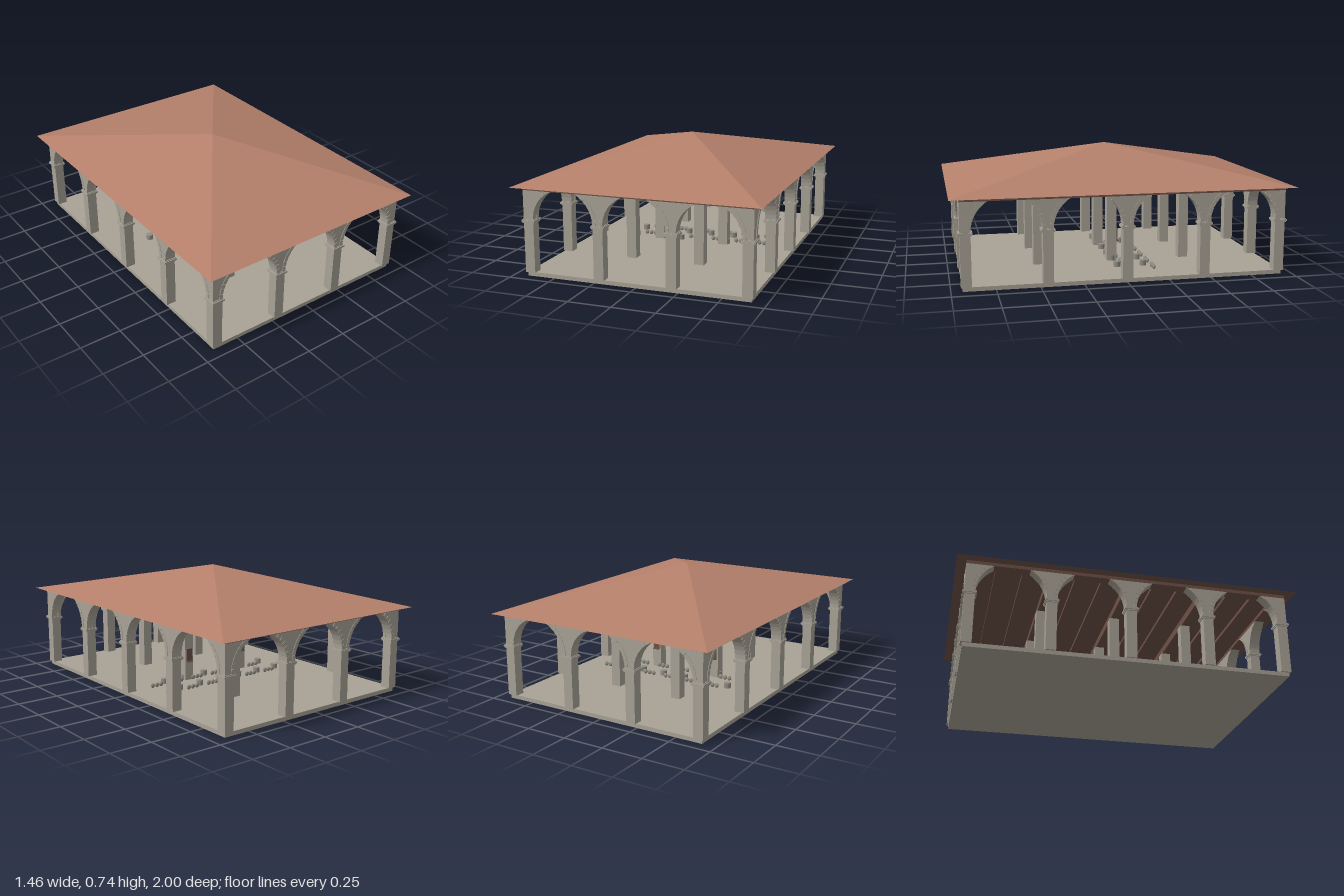
import * as THREE from 'three';

export function createModel() {
  const model = new THREE.Group();
  const mat = (name, color, extra = {}) => {
    const m = new THREE.MeshStandardMaterial({ color, ...extra });
    m.name = name;
    return m;
  };
  const stone = mat('stone', 0xa8a296);
  const tile = mat('roof tile', 0xb5806b, { flatShading: true });
  const wood = mat('dark wood', 0x6e5145);
  const prop = mat('grey stool', 0x8f8c83);

  const add = (name, geo, material, x = 0, y = 0, z = 0, parent = model) => {
    const m = new THREE.Mesh(geo, material);
    m.name = name;
    m.position.set(x, y, z);
    parent.add(m);
    return m;
  };
  // box given by its bottom height
  const box = (name, material, w, h, d, x, y, z, parent) =>
    add(name, new THREE.BoxGeometry(w, h, d), material, x, y + h / 2, z, parent);

  const FLOOR = 0.024, SPRING = 0.335, TOP = 0.505, EAVE = 0.525, HALF = 0.03;
  const xs = [-0.645, -0.215, 0.215, 0.645];
  const zs = [-0.915, -0.4575, 0, 0.4575, 0.915];

  // floor slab
  box('floor', stone, 1.33, FLOOR, 1.87, 0, 0, 0);

  // pillars: a full grid, the outer ones with capitals
  xs.forEach((x, i) => zs.forEach((z, j) => {
    const outer = i === 0 || i === 3 || j === 0 || j === 4;
    const g = new THREE.Group();
    g.name = outer ? 'outerPillar' : 'innerPillar';
    g.position.set(x, 0, z);
    model.add(g);
    box('shaft', stone, 0.06, (outer ? SPRING : 0.48) - FLOOR, 0.06, 0, FLOOR, 0, g);
    if (outer) {
      box('capital', stone, 0.08, 0.011, 0.08, 0, 0.322, 0, g);
      box('capitalNeck', stone, 0.07, 0.007, 0.07, 0, 0.315, 0, g);
      box('capitalTop', stone, 0.07, 0.005, 0.07, 0, 0.333, 0, g);
    }
  }));

  // one row of arches: spandrels over the pillars, with raised arch stones
  function arcade(name, centres) {
    const g = new THREE.Group();
    g.name = name;
    const r = (centres[1] - centres[0]) / 2 - HALF;
    const end = Math.asin((TOP - SPRING) / r);
    const last = centres.length - 1;
    centres.forEach((c, i) => {
      const right = [], left = [];
      for (let k = 0; k <= 12; k++) {
        const a = (end * k) / 12;
        const out = HALF + r - r * Math.cos(a), y = SPRING + r * Math.sin(a);
        right.push(new THREE.Vector2(c + (i === last ? HALF : out), y));
        left.push(new THREE.Vector2(c - (i === 0 ? HALF : out), y));
      }
      const shape = new THREE.Shape([...right, ...left.reverse()]);
      const geo = new THREE.ExtrudeGeometry(shape, { depth: 0.06, bevelEnabled: false });
      add('spandrel', geo, stone, 0, 0, -0.03, g);

      // arch stones stand slightly proud on both faces
      const R = r + 0.022, limit = Math.asin((TOP - SPRING) / R), n = 6;
      for (const side of [-1, 1]) {
        if ((i === last && side > 0) || (i === 0 && side < 0)) continue;
        const mid = c + side * (HALF + r);
        for (let k = 0; k < n; k++) {
          const a0 = (limit * (k + 0.05)) / n, a1 = (limit * (k + 0.95)) / n;
          const p = (q, a) => new THREE.Vector2(mid - side * q * Math.cos(a), SPRING + q * Math.sin(a));
          const wedge = new THREE.Shape([p(r, a0), p(R, a0), p(R, a1), p(r, a1)]);
          add('archStone', new THREE.ExtrudeGeometry(wedge, { depth: 0.066, bevelEnabled: false }),
            stone, 0, 0, -0.033, g);
        }
      }
    });
    model.add(g);
    return g;
  }
  for (const s of [-1, 1]) {
    arcade('endArcade', xs).position.z = s * 0.915;
    const side = arcade('sideArcade', zs);
    side.rotation.y = Math.PI / 2;
    side.position.x = s * 0.645;
    // wall plates above the arches
    box('sidePlate', wood, 0.06, EAVE - TOP, 1.89, s * 0.645, TOP, 0);
    box('endPlate', wood, 1.35, EAVE - TOP, 0.06, 0, TOP, s * 0.915);
  }

  // ceiling beams: deep on the pillar lines, shallow between them
  zs.slice(1, 4).forEach(z => box('mainBeam', wood, 1.24, 0.045, 0.045, 0, 0.48, z));
  for (let i = 0; i < 4; i++) {
    for (const t of [1 / 3, 2 / 3])
      box('joist', wood, 1.24, 0.02, 0.03, 0, TOP, zs[i] + 0.4575 * t);
  }

  // pyramid roof
  const roof = new THREE.ConeGeometry(Math.SQRT1_2, 1, 4);
  roof.rotateY(Math.PI / 4);
  roof.scale(1.46, 0.21, 2);
  add('roof', roof, [tile, tile, wood], 0, EAVE + 0.105, 0);

  // two rows of low drums, each with three small round stones
  const drum = new THREE.CylinderGeometry(0.021, 0.021, 0.032, 12);
  const pebble = new THREE.SphereGeometry(1, 12, 8).scale(0.014, 0.015, 0.009);
  for (const z of [0, -0.16]) {
    for (let i = 0; i < 6; i++) {
      const x = -0.387 + i * 0.1546;
      add('drum', drum, prop, x, FLOOR + 0.016, z);
      for (let k = 0; k < 3; k++)
        add('roundStone', pebble, prop, x + 0.053 + k * 0.031, FLOOR + 0.016, z - 0.04);
    }
  }

  // small wall plaques with a ledge on the middle inner pillars
  for (const x of [xs[1], xs[2]]) {
    box('plaque', wood, 0.04, 0.08, 0.006, x, 0.145, -0.033);
    box('plaqueLedge', wood, 0.04, 0.005, 0.016, x, 0.143, -0.038);
  }
  return model;
}
